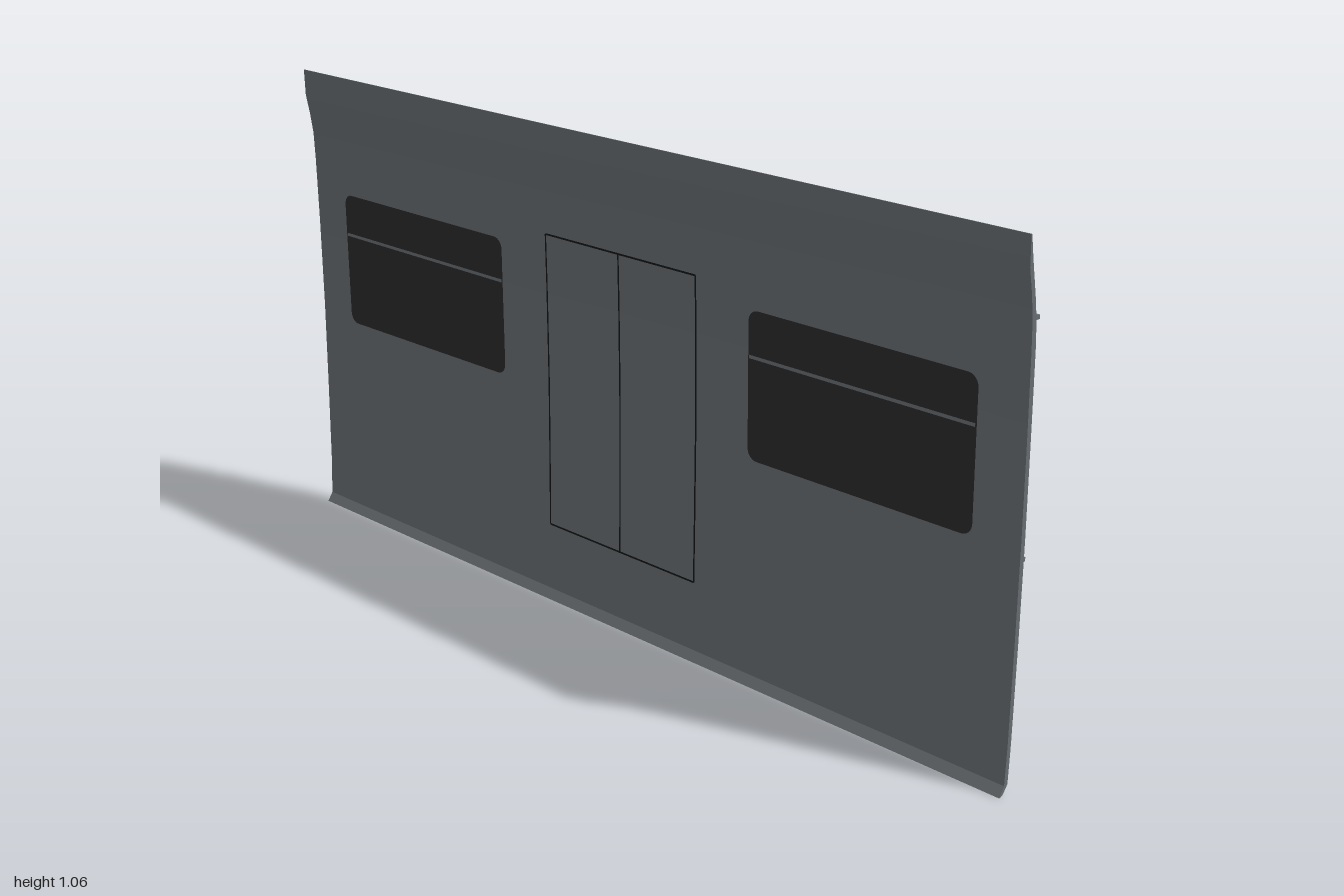
import * as THREE from 'three';
import { toCreasedNormals } from 'three/addons/utils/BufferGeometryUtils.js';

const mat = (name, color, side = THREE.FrontSide) => {
  const m = new THREE.MeshStandardMaterial({ color, side });
  m.name = name;
  return m;
};

// Wall section as [x, y] points, bottom to top
const OUTER = [[-0.014, 0], [-0.006, 0.004], [0.006, 0.02], [0.009, 0.1], [0.011, 0.3], [0.011, 0.5],
  [0.008, 0.7], [0.005, 0.85], [0.002, 0.9], [-0.004, 0.94], [-0.012, 0.98], [-0.019, 1.015], [-0.0265, 1.058]];
const INNER = [[-0.017, 0], [-0.004, 0.02], [-0.001, 0.1], [0, 0.3], [0, 0.5], [-0.003, 0.7],
  [-0.007, 0.85], [-0.01, 0.91], [-0.017, 0.955], [-0.0265, 1.0], [-0.0285, 1.058]];

function profileX(points, y) {
  for (let i = 1; i < points.length; i++) {
    const [x0, y0] = points[i - 1], [x1, y1] = points[i];
    if (y <= y1) return x0 + (x1 - x0) * Math.max(0, (y - y0) / (y1 - y0));
  }
  return points[points.length - 1][0];
}

// Height of a ragged edge at z, from [z, y] points in rising z
function edge(points) {
  const swapped = points.map(([z, y]) => [y, z]);
  return z => profileX(swapped, z);
}

function roundedRect(w, h, r, path = new THREE.Shape()) {
  const x = w / 2, y = h / 2;
  path.moveTo(-x + r, -y).lineTo(x - r, -y).absarc(x - r, -y + r, r, -Math.PI / 2, 0)
    .lineTo(x, y - r).absarc(x - r, y - r, r, 0, Math.PI / 2)
    .lineTo(-x + r, y).absarc(-x + r, y - r, r, Math.PI / 2, Math.PI)
    .lineTo(-x, -y + r).absarc(-x + r, -y + r, r, Math.PI, Math.PI * 1.5);
  return path;
}

export function createModel() {
  const model = new THREE.Group();
  model.name = 'trainWall';
  const steel = mat('body steel', 0x666c70);
  const black = mat('black paint', 0x262626);
  const glass = mat('dark glass', 0x2a2a2a);
  const rubber = mat('seal rubber', 0x151515);
  const blue = mat('blue stripe', 0x34599e);
  const plate = mat('kick plate steel', 0x9a9fa0);
  const bright = mat('bright trim', 0xb4b8b8);

  const add = (name, geo, material) => {
    const mesh = new THREE.Mesh(geo, material);
    mesh.name = name;
    model.add(mesh);
    return mesh;
  };

  // Thin sheet that follows the outer (or inner) face of the wall
  function sheet(name, material, z0, z1, bottom, top, off = 0.0015, inside = false, nz = 1, ny = 6) {
    const geo = new THREE.PlaneGeometry(1, 1, nz, ny);
    const p = geo.attributes.position;
    const at = (f, z) => (typeof f === 'function' ? f(z) : f);
    for (let i = 0; i < p.count; i++) {
      const u = p.getX(i) + 0.5, v = p.getY(i) + 0.5;
      const z = inside ? z0 + (z1 - z0) * u : z1 - (z1 - z0) * u;
      const y = at(bottom, z) + (at(top, z) - at(bottom, z)) * v;
      p.setXYZ(i, inside ? profileX(INNER, y) - off : profileX(OUTER, y) + off, y, z);
    }
    geo.computeVertexNormals();
    return add(name, geo, material);
  }

  // Flat part drawn in the z-y plane, leaned onto the wall face
  function fitted(name, geo, material, z, y, off, inside = false) {
    geo.rotateY(inside ? -Math.PI / 2 : Math.PI / 2).translate(0, y, z);
    const p = geo.attributes.position;
    for (let i = 0; i < p.count; i++) {
      const yy = p.getY(i);
      p.setX(i, p.getX(i) + (inside ? profileX(INNER, yy) - off : profileX(OUTER, yy) + off));
    }
    geo.computeVertexNormals();
    return add(name, geo, material);
  }

  // Curved wall shell
  const section = new THREE.Shape([...OUTER, ...[...INNER].reverse()].map(([x, y]) => new THREE.Vector2(x, y)));
  const shell = new THREE.ExtrudeGeometry(section, { depth: 2, bevelEnabled: false }).translate(0, 0, -1);
  add('wallShell', toCreasedNormals(shell, 0.5), steel);

  // Black skirt with an uneven top edge
  const skirtTop = edge([[-1, 0.17], [-0.84, 0.172], [-0.72, 0.176], [-0.67, 0.178], [-0.62, 0.165], [-0.4, 0.165],
    [-0.26, 0.17], [-0.2, 0.18], [-0.15, 0.184], [-0.09, 0.175], [0, 0.17], [0.15, 0.172], [0.25, 0.175],
    [0.3, 0.188], [0.35, 0.193], [0.42, 0.182], [0.48, 0.188], [0.55, 0.184], [0.6, 0.174], [0.75, 0.166], [1, 0.172]]);
  sheet('skirt', black, -1, 1, 0.001, skirtTop, 0.002, false, 100, 24);

  // Black band under the roof and the rain gutter above it
  const bandBottom = z => 0.873 + 0.003 * Math.sin(z * 17) * Math.sin(z * 7 + 1);
  sheet('roofBand', black, -1, 1, bandBottom, 0.902, 0.002, false, 80, 4);
  add('rainGutter', new THREE.BoxGeometry(0.012, 0.008, 2).translate(0.005, 0.907, 0), steel);

  // Blue stripe and belt ridges
  sheet('blueStripe', blue, -1, 1, 0.34, 0.402, 0.003);
  for (const s of [-1, 1]) {
    const a = s < 0 ? -1 : 0.222, b = s < 0 ? -0.222 : 1;
    add('beltRidge', new THREE.BoxGeometry(0.006, 0.008, b - a).translate(0.012, 0.462, (a + b) / 2), steel);
    sheet('beltShadowLine', rubber, a, b, 0.454, 0.458);
    sheet('stripeEdgeLine', rubber, a, b, 0.408, 0.411);
  }

  // Windows: seal, outer and inner glass, sash bar
  for (const s of [-1, 1]) {
    const z = s * 0.625, y = 0.63;
    const ring = roundedRect(0.56, 0.326, 0.032);
    ring.holes.push(roundedRect(0.534, 0.3, 0.022, new THREE.Path()));
    fitted('windowSeal', new THREE.ExtrudeGeometry(ring, { depth: 0.005, bevelEnabled: false, curveSegments: 6 }),
      rubber, z, y, 0);
    fitted('windowGlass', new THREE.ShapeGeometry(roundedRect(0.54, 0.306, 0.024), 6), glass, z, y, 0.002);
    fitted('windowGlassInside', new THREE.ShapeGeometry(roundedRect(0.54, 0.306, 0.024), 6), glass, z, y, 0.0015, true);
    sheet('sashBar', plate, z - 0.267, z + 0.267, 0.685, 0.692, 0.0035);
    sheet('sashBarInside', steel, z - 0.267, z + 0.267, 0.685, 0.692, 0.0025, true);
  }

  // Double door: edge trims, seams, kick plates and top rail
  for (const s of [-1, 1]) {
    sheet('doorEdgeTrim', plate, s * 0.216 - 0.003, s * 0.216 + 0.003, 0.18, 0.825, 0.0025);
    sheet('doorEdgeSeam', rubber, s * 0.211 - 0.0015, s * 0.211 + 0.0015, 0.18, 0.82, 0.0018);
    sheet('doorSeamInside', rubber, s * 0.215 - 0.002, s * 0.215 + 0.002, 0.17, 0.82, 0.001, true);
    sheet('kickPlate', plate, s * 0.109 - 0.1, s * 0.109 + 0.1, skirtTop, 0.257, 0.0025, false, 16);
  }
  sheet('doorCentreSeam', rubber, -0.005, 0.005, 0.175, 0.82, 0.0035, false, 1, 12);
  sheet('doorCentreSeamInside', rubber, -0.002, 0.002, 0.17, 0.82, 0.001, true);
  sheet('doorTopSeamInside', rubber, -0.215, 0.215, 0.818, 0.822, 0.001, true);
  sheet('doorBottomSeamInside', rubber, -0.215, 0.215, 0.168, 0.172, 0.001, true);
  add('doorRail', new THREE.BoxGeometry(0.014, 0.016, 0.46).translate(0.0195, 0.832, 0), bright);
  add('doorRailBracket', new THREE.BoxGeometry(0.012, 0.008, 0.44).translate(0.008, 0.836, 0), steel);

  // Panel seams and dirt streaks: [z, bottom, top, width]
  const lines = [[0.965, 0.17, 0.873, 0.004], [-0.965, 0.17, 0.873, 0.004], [0.75, 0.166, 0.335, 0.004],
    [-0.75, 0.17, 0.335, 0.004], [0.88, 0.402, 0.458, 0.006], [-0.875, 0.41, 0.458, 0.006], [0.375, 0.37, 0.458, 0.006],
    [-0.373, 0.36, 0.458, 0.006], [0.02, 0.835, 0.873, 0.004], [-0.65, 0.69, 0.873, 0.003], [-0.937, 0.78, 0.873, 0.005]];
  for (const [z, y0, y1, w] of lines) {
    sheet('panelSeam', rubber, z - w / 2, z + w / 2, y0, y1, 0.0034);
  }
  for (const [z, y, r] of [[0.73, 0.862, 0.011], [0.385, 0.866, 0.008]]) {
    fitted('dirtSpot', new THREE.CircleGeometry(r, 7), rubber, z, y, 0.002);
  }
  return model;
}
